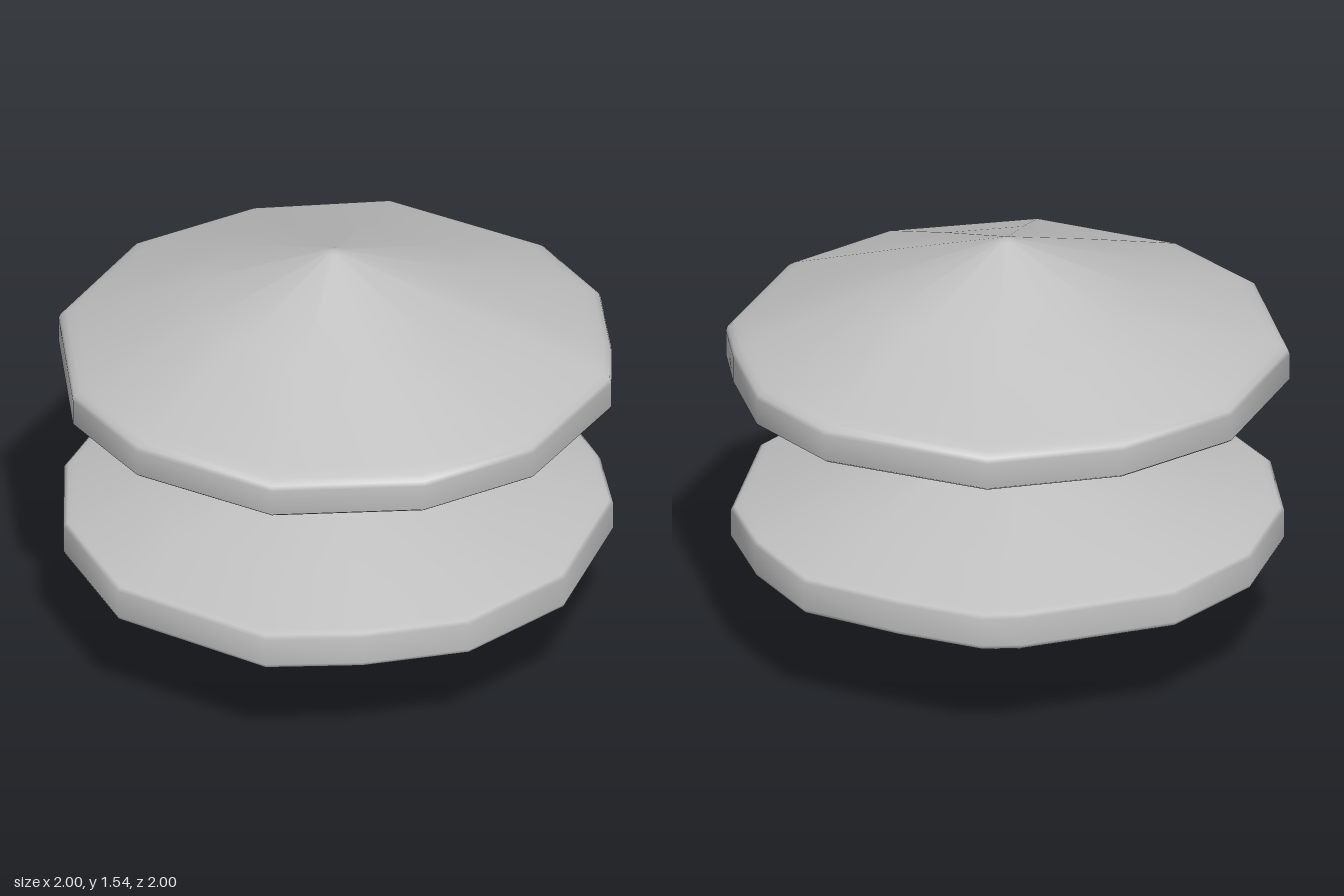
import * as THREE from 'three';
import { mergeVertices } from 'three/addons/utils/BufferGeometryUtils.js';

// Rim corners as [angle in degrees, radius]; angle runs from +x towards +z
const UPPER_RIM = [[1, 1], [33, 0.99], [59, 0.98], [91, 0.99], [123, 0.985], [147, 0.99], [180, 1],
  [212, 0.99], [240, 0.975], [269, 1], [305, 1], [327, 1], [348, 0.975]];
const LOWER_RIM = [[22, 0.98], [49, 0.985], [72, 0.96], [92, 1], [128, 1], [156, 0.98], [180, 0.98],
  [204, 0.985], [228, 0.99], [262, 0.985], [270, 0.995], [289, 0.95], [311, 0.995], [332, 0.97], [350, 0.98]];

// Profiles as [radius, height], bottom to top
const UPPER_PROFILE = [[0, 0.78], [0.18, 0.787], [0.37, 0.82], [0.7, 0.927], [0.96, 1.015], [0.985, 1.024],
  [1, 1.035], [1, 1.13], [0.993, 1.147], [0.97, 1.163], [0.93, 1.179], [0.5, 1.352], [0.03, 1.534], [0, 1.54]];
const LOWER_PROFILE = [[0, 0], [0.03, 0.006], [0.5, 0.195], [0.93, 0.374], [0.97, 0.39], [0.993, 0.403],
  [1, 0.418], [1, 0.52], [0.985, 0.531], [0.96, 0.539], [0.7, 0.622], [0.37, 0.72], [0.18, 0.757], [0, 0.765]];

// Sweeps a profile around an uneven polygon, with smooth normals
function discGeometry(profile, rim) {
  const n = rim.length, positions = [], index = [];
  for (const [r, y] of profile) {
    for (const [deg, scale] of rim) {
      const a = THREE.MathUtils.degToRad(deg);
      positions.push(Math.cos(a) * r * scale, y, Math.sin(a) * r * scale);
    }
  }
  for (let j = 0; j < profile.length - 1; j++) {
    for (let i = 0; i < n; i++) {
      const a = j * n + i, b = j * n + (i + 1) % n;
      if (j < profile.length - 2) index.push(a, a + n, b + n);
      else index.push(a, a + n, b);
      if (j > 0 && j < profile.length - 2) index.push(a, b + n, b);
    }
  }
  const geometry = new THREE.BufferGeometry();
  geometry.setAttribute('position', new THREE.Float32BufferAttribute(positions, 3));
  geometry.setIndex(index);
  const merged = mergeVertices(geometry, 1e-5);
  merged.computeVertexNormals();
  return merged;
}

export function createModel() {
  const model = new THREE.Group();
  const grey = new THREE.MeshStandardMaterial({ color: 0xc0c0c0 });
  grey.name = 'light grey';

  // Two facing discs, pointed on the outside and domed on the inside
  const parts = [['upperDisc', UPPER_PROFILE, UPPER_RIM], ['lowerDisc', LOWER_PROFILE, LOWER_RIM]];
  for (const [name, profile, rim] of parts) {
    const disc = new THREE.Mesh(discGeometry(profile, rim), grey);
    disc.name = name;
    model.add(disc);
  }
  return model;
}
